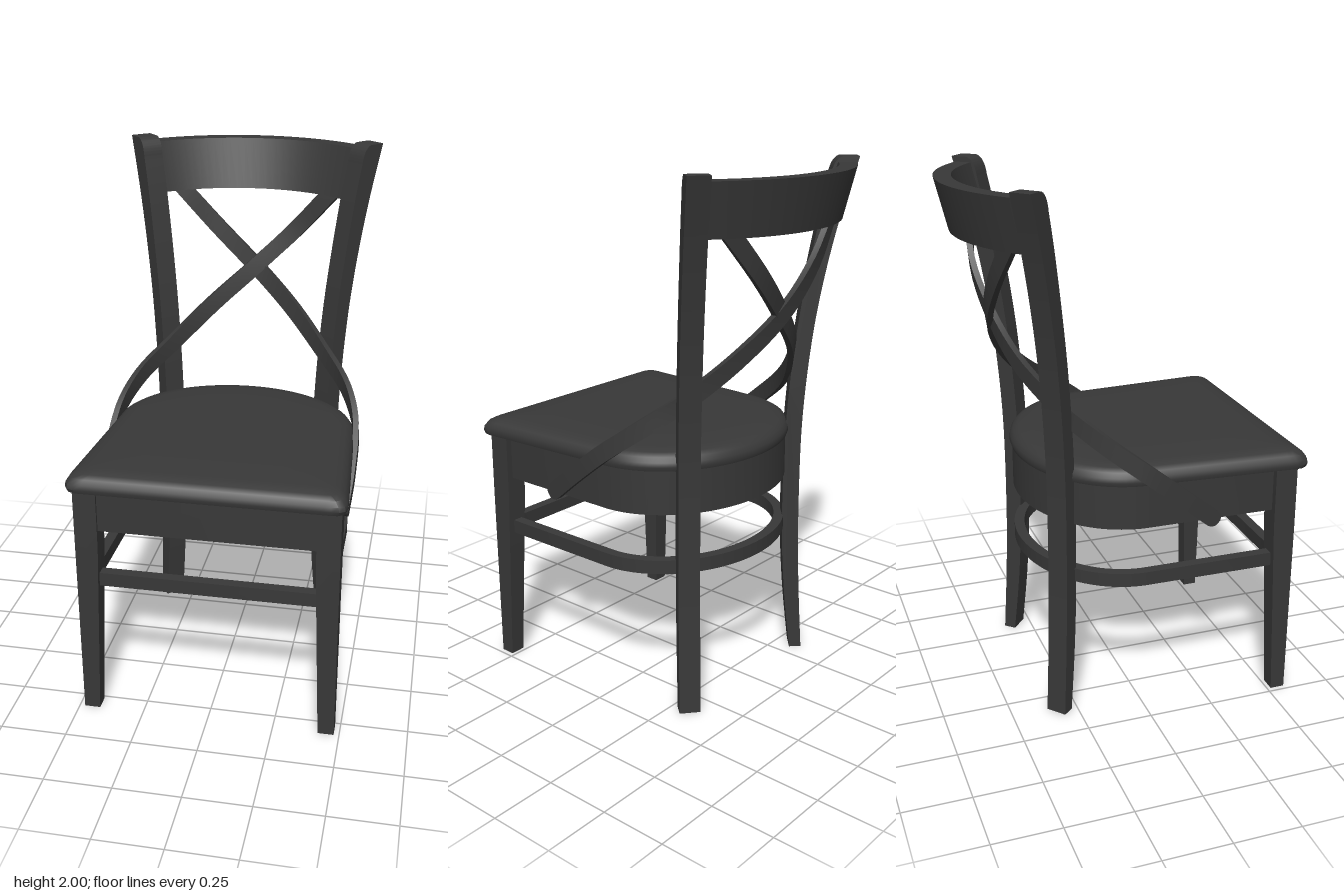
import * as THREE from 'three';
import { toCreasedNormals } from 'three/addons/utils/BufferGeometryUtils.js';

const material = new THREE.MeshStandardMaterial({ color: 0x383838 });
const V = (x, y, z) => new THREE.Vector3(x, y, z);

function part(name, geometry) {
  const mesh = new THREE.Mesh(toCreasedNormals(geometry, 0.6), material);
  mesh.name = name;
  return mesh;
}

// Skin a list of equal-length closed rings, with fan caps at both ends
function loft(rings) {
  const n = rings[0].length, last = rings.length - 1, index = [];
  const centre = (ring) => ring.reduce((c, p) => c.add(p), V(0, 0, 0)).divideScalar(n);
  const points = [...rings.flat(), centre(rings[0]), centre(rings[last])];
  const c0 = n * rings.length;
  for (let i = 0; i < n; i++) {
    const k = (i + 1) % n;
    for (let j = 0; j < last; j++) {
      const a = j * n + i, b = j * n + k;
      index.push(a, b, b + n, a, b + n, a + n);
    }
    index.push(k, i, c0, last * n + i, last * n + k, c0 + 1);
  }
  const g = new THREE.BufferGeometry().setFromPoints(points);
  g.setIndex(index);
  return g;
}

// D-shaped plan: elliptical back, straight sides, rounded front corners (shape y = -z)
function dShape(a, b, w, front, r, Type = THREE.Shape) {
  const s = new Type();
  s.moveTo(a, 0);
  s.absellipse(0, 0, a, b, 0, Math.PI, false);
  s.lineTo(-w, -front + r);
  s.quadraticCurveTo(-w, -front, -w + r, -front);
  s.lineTo(w - r, -front);
  s.quadraticCurveTo(w, -front, w, -front + r);
  s.lineTo(a, 0);
  return s;
}

// D-shaped hoop, used for the apron and the stretcher
function hoop(name, y0, y1, front, t) {
  const s = dShape(0.452, 0.37, 0.456, front, 0.01);
  s.holes.push(dShape(0.452 - t, 0.37 - t, 0.456 - t, front - t, 0.01, THREE.Path));
  const g = new THREE.ExtrudeGeometry(s, { depth: y1 - y0, bevelEnabled: false, curveSegments: 40 });
  g.rotateX(-Math.PI / 2).translate(0, y0, 0);
  return part(name, g);
}

// Padded seat: the D outline stacked in layers of [height, scale]
function seat() {
  const outline = dShape(0.464, 0.38, 0.5, 0.62, 0.045).getSpacedPoints(140).slice(0, -1);
  const layers = [[0.935, 0.965], [0.94, 0.99], [0.955, 1], [0.972, 0.994], [0.99, 0.97],
    [1.002, 0.93], [1.009, 0.85], [1.014, 0.65], [1.016, 0.3]];
  return part('seat', loft(layers.map(([y, s]) =>
    outline.map((p) => V(p.x * s, y, 0.12 + (-p.y - 0.12) * s)))));
}

// Front leg: square at the apron, tapering on its inner faces
function frontLeg(side) {
  const g = new THREE.BoxGeometry(0.085, 0.935, 0.085, 1, 4, 1);
  g.translate(side * 0.4375, 0.4675, 0.5325);
  const p = g.attributes.position;
  for (let i = 0; i < p.count; i++) {
    const k = Math.max(0, 1 - p.getY(i) / 0.7);
    if (Math.abs(p.getX(i)) < 0.43) p.setX(i, p.getX(i) + side * 0.025 * k);
    p.setZ(i, p.getZ(i) + (p.getZ(i) < 0.53 ? 0.025 : -0.005) * k);
  }
  return part('frontLeg', g);
}

// Back post: one curved plank from floor to top, turned outward
function backPost(side) {
  const s = new THREE.Shape();
  const pts = (list) => list.map(([x, y]) => new THREE.Vector2(x, y));
  s.moveTo(0.06, 0);
  s.splineThru(pts([[0.045, 0.25], [0.035, 0.5], [0.033, 0.8], [0.038, 1], [0.053, 1.2],
    [0.077, 1.4], [0.113, 1.6], [0.16, 1.8], [0.218, 2]]));
  s.lineTo(0.155, 2);
  s.quadraticCurveTo(0.122, 1.99, 0.113, 1.93);
  s.splineThru(pts([[0.083, 1.8], [0.045, 1.6], [0.013, 1.4], [-0.01, 1.2], [-0.025, 1],
    [-0.032, 0.8], [-0.03, 0.5], [-0.015, 0.25], [0.012, 0]]));
  const g = new THREE.ExtrudeGeometry(s, { depth: 0.08, bevelEnabled: false, curveSegments: 30 });
  g.translate(0, 0, -0.04).rotateY(side > 0 ? 0.85 : Math.PI - 0.85);
  return part('backPost', g.translate(side * 0.32, 0, -0.29));
}

// Curved, backward-leaning top rail; corners given as [height, radius]
function topRail() {
  const corners = [[1.79, 0.6], [1.98, 0.647], [1.98, 0.582], [1.79, 0.53]];
  const rings = [];
  for (let i = 0; i <= 28; i++) {
    const a = 0.75 * (i / 14 - 1);
    rings.push(corners.map(([y, r]) => V(r * Math.sin(a), y, 0.02 - r * Math.cos(a))));
  }
  return part('topRail', loft(rings));
}

// Bent flat brace from the side of the apron, around the back, up to the opposite end of the rail
function crossBrace(side) {
  const dz = side < 0 ? 0.006 : -0.006;
  const curve = new THREE.CatmullRomCurve3([
    [0.464, 0.76, 0.265], [0.474, 0.88, 0.12], [0.466, 1, -0.03], [0.41, 1.1, -0.16],
    [0.305, 1.2, -0.275], [0.16, 1.34, -0.39], [0, 1.485, -0.455 + dz], [-0.16, 1.64, -0.475],
    [-0.31, 1.81, -0.452]].map(([x, y, z]) => V(side * x, y, z)));
  const length = curve.getLength(), rings = [];
  for (let i = 0; i <= 48; i++) {
    const u = 0.001 + 0.999 * (i / 48) ** 1.6;
    const p = curve.getPointAt(u), T = curve.getTangentAt(u);
    const N = V(p.x, 0, Math.min(0, p.z * 1.4));
    N.addScaledVector(T, -N.dot(T)).normalize();
    const W = T.clone().cross(N);
    const k = Math.max(0, 1 - u * length / 0.032);
    const w = 0.032 * Math.sqrt(1 - k * k);
    rings.push([[1, -1], [1, 1], [-1, 1], [-1, -1]].map(([a, b]) =>
      p.clone().addScaledVector(N, a * 0.011).addScaledVector(W, b * w)));
  }
  return part('crossBrace', loft(rings));
}

export function createModel() {
  const chair = new THREE.Group();
  chair.name = 'chair';
  chair.add(
    seat(),
    hoop('apron', 0.77, 0.94, 0.565, 0.035),
    hoop('stretcher', 0.537, 0.59, 0.555, 0.04),
    topRail());
  for (const side of [1, -1]) chair.add(frontLeg(side), backPost(side), crossBrace(side));
  return chair;
}
